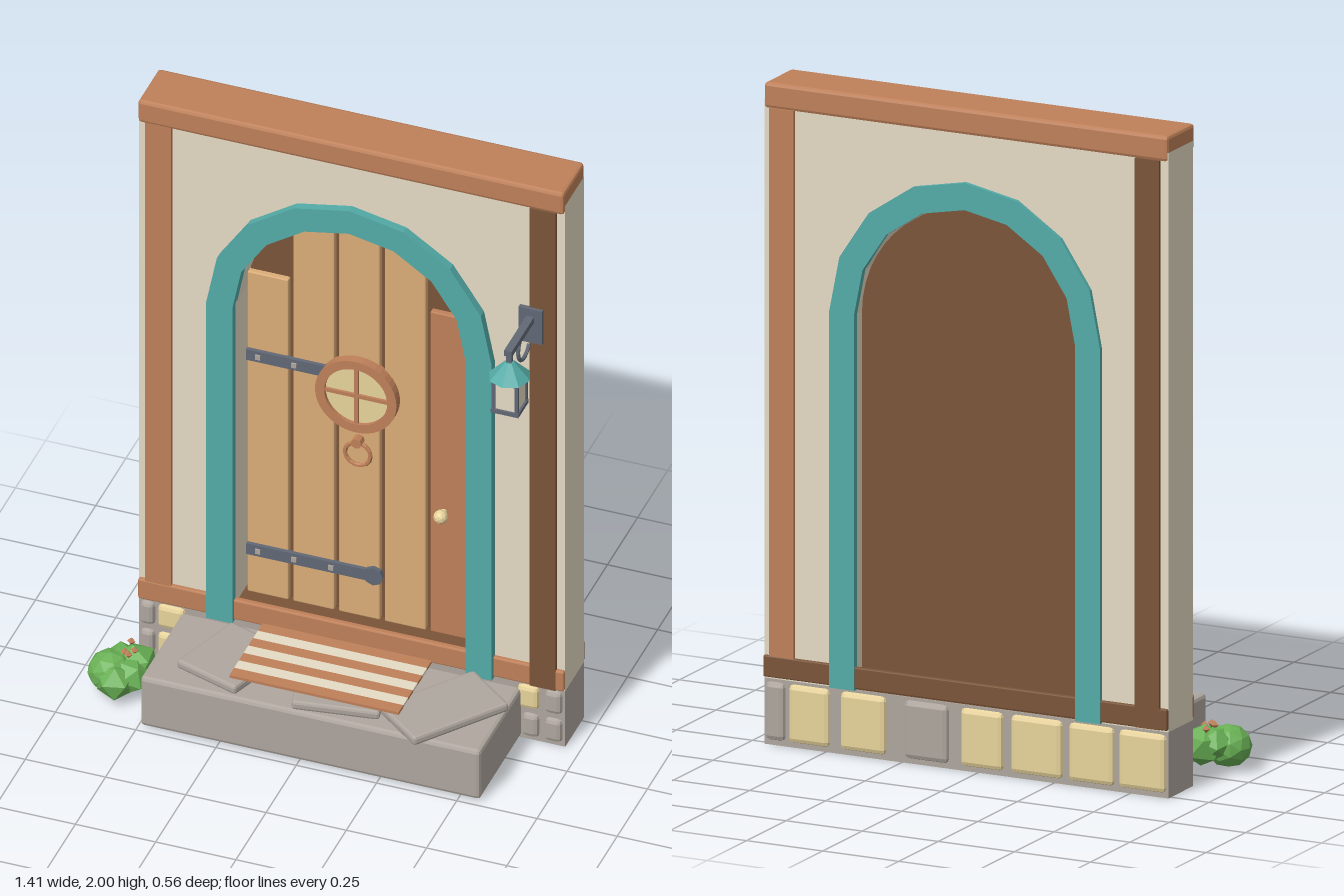
import * as THREE from 'three';
import { RoundedBoxGeometry } from 'three/addons/geometries/RoundedBoxGeometry.js';

const mat = (name, color) => {
  const m = new THREE.MeshStandardMaterial({ color });
  m.name = name;
  return m;
};

export function createModel() {
  const root = new THREE.Group();
  root.name = 'doorway';

  const wood = mat('red brown wood', 0xbf8059);
  const darkWood = mat('dark brown wood', 0x7a5438);
  const plankWood = mat('light plank wood', 0xdaac77);
  const plaster = mat('cream plaster', 0xe4dbc5);
  const teal = mat('teal paint', 0x53aba7);
  const stone = mat('grey stone', 0xaea69e);
  const sand = mat('sand stone', 0xe9d59c);
  const iron = mat('dark iron', 0x616875);
  const leaf = mat('leaf green', 0x69b055);

  // Faceted mesh from any geometry
  function add(name, geo, material, x = 0, y = 0, z = 0, parent = root) {
    const g = geo.index ? geo.toNonIndexed() : geo;
    g.computeVertexNormals();
    const m = new THREE.Mesh(g, material);
    m.name = name;
    m.position.set(x, y, z);
    parent.add(m);
    return m;
  }
  // Box given by its limits, with an optional chamfer
  function box(name, material, x0, x1, y0, y1, z0, z1, bevel = 0, parent = root) {
    const w = x1 - x0, h = y1 - y0, d = z1 - z0;
    const g = bevel ? new RoundedBoxGeometry(w, h, d, 1, bevel) : new THREE.BoxGeometry(w, h, d);
    return add(name, g, material, (x0 + x1) / 2, (y0 + y1) / 2, (z0 + z1) / 2, parent);
  }

  // Arched outline: straight sides with a half round head
  const CX = 0.038, SPRING = 1.335;
  function archPoints(r, n, y0) {
    const pts = [new THREE.Vector2(CX + r, y0)];
    for (let i = 0; i <= n; i++) {
      const a = (Math.PI * i) / n;
      pts.push(new THREE.Vector2(CX + r * Math.cos(a), SPRING + r * Math.sin(a)));
    }
    pts.push(new THREE.Vector2(CX - r, y0));
    return pts;
  }
  function slab(name, material, pts, z0, z1) {
    const g = new THREE.ExtrudeGeometry(new THREE.Shape(pts), { depth: z1 - z0, bevelEnabled: false });
    return add(name, g, material, 0, 0, z0);
  }

  // Wall with the arched opening, on a stone footing
  const XL = -0.625, XR = 0.702, OPENING = 0.363;
  slab('wall', plaster, [
    new THREE.Vector2(XL, 0.2), ...archPoints(OPENING, 8, 0.2).reverse(),
    new THREE.Vector2(XR, 0.2), new THREE.Vector2(XR, 1.95), new THREE.Vector2(XL, 1.95),
  ], -0.267, -0.112);
  box('footing', stone, XL, XR, 0, 0.2, -0.267, -0.112);

  // Timber frame
  box('topBeam', wood, XL, XR, 1.922, 2, -0.272, -0.098, 0.01);
  box('frontPostRight', wood, -0.602, -0.522, 0.24, 1.925, -0.12, -0.1);
  box('frontPostLeft', darkWood, 0.597, 0.677, 0.205, 1.925, -0.12, -0.096);
  box('backPostLeft', wood, 0.602, 0.682, 0.24, 1.925, -0.275, -0.26);
  box('backPostRight', darkWood, -0.6, -0.52, 0.205, 1.925, -0.277, -0.26);
  box('frontBoard', wood, XL, XR, 0.205, 0.275, -0.12, -0.099, 0.005);
  box('backBoard', darkWood, XL, XR, 0.205, 0.27, -0.276, -0.26, 0.004);
  box('sill', darkWood, CX - 0.36, CX + 0.36, 0.2, 0.262, -0.262, -0.115);

  // Arched trim on both faces of the wall, and the door between
  for (const [z0, z1] of [[-0.28, -0.26], [-0.125, -0.085]]) {
    slab('archTrim', teal, [
      ...archPoints(0.445, 8, 0.2), ...archPoints(OPENING, 8, 0.2).reverse(),
    ], z0, z1);
  }
  slab('doorPanel', darkWood, archPoints(0.355, 24, 0.255), -0.245, -0.19);

  // Everything fixed to the door face, measured from that face
  const face = new THREE.Group();
  face.name = 'doorFace';
  face.position.z = -0.172;
  root.add(face);

  const tops = [1.415, 1.625, 1.682, 1.625, 1.415];
  tops.forEach((top, i) => {
    const x = CX + (i - 2) * 0.1425;
    box('doorPlank', i === 4 ? wood : plankWood, x - 0.064, x + 0.064, 0.262, top, -0.03, 0, 0.004, face);
  });

  // Round window
  const onZ = (r, h, n) => new THREE.CylinderGeometry(r, r, h, n).rotateX(Math.PI / 2);
  add('windowGlass', onZ(0.105, 0.02, 20), sand, CX, 1.07, 0.008, face);
  const rim = new THREE.Shape().absarc(0, 0, 0.127, 0, Math.PI * 2);
  rim.holes.push(new THREE.Path().absarc(0, 0, 0.098, 0, Math.PI * 2, true));
  add('windowRim', new THREE.ExtrudeGeometry(rim, { depth: 0.035, bevelEnabled: false, curveSegments: 20 }),
    wood, CX, 1.07, -0.005, face);
  box('windowBar', wood, CX - 0.1, CX + 0.1, 1.064, 1.076, 0.01, 0.026, 0, face);
  box('windowBar', wood, CX - 0.006, CX + 0.006, 0.97, 1.17, 0.01, 0.026, 0, face);

  // Hinge straps with studs
  for (const [y, end] of [[1.123, -0.06], [0.423, 0.07]]) {
    box('hingeStrap', iron, -0.31, end, y - 0.019, y + 0.019, -0.002, 0.012, 0, face);
    for (const x of [-0.273, -0.16, -0.045]) {
      if (x < end - 0.05) box('stud', stone, x - 0.008, x + 0.008, y - 0.008, y + 0.008, 0.01, 0.017, 0, face);
    }
  }
  add('hingeTip', onZ(0.031, 0.016, 8), iron, 0.085, 0.423, 0.005, face);

  // Knocker and knob
  add('knockerRing', new THREE.TorusGeometry(0.04, 0.007, 6, 14), wood, CX, 0.855, 0.013, face);
  add('knockerMount', onZ(0.017, 0.03, 8), wood, CX, 0.9, 0.013, face);
  add('knobStem', onZ(0.01, 0.03, 8), sand, 0.302, 0.705, 0.01, face);
  add('knob', new THREE.IcosahedronGeometry(0.022, 1), sand, 0.302, 0.705, 0.028, face);

  // Footing stones along the back: left edge, right edge, material
  const backStones = [
    [-0.62, -0.465, sand], [-0.45, -0.3, sand], [-0.28, -0.11, sand], [-0.085, 0.055, sand],
    [0.095, 0.24, stone], [0.3, 0.45, sand], [0.485, 0.62, sand], [0.632, 0.697, stone],
  ];
  for (const [a, b, m] of backStones) box('backStone', m, a, b, 0.015, 0.192, -0.28, -0.25, 0.016);

  // Footing stones at the front corners
  const frontStones = [
    [-0.62, -0.575, 0.115, stone], [-0.62, -0.575, 0.015, stone],
    [-0.565, -0.48, 0.115, sand], [-0.565, -0.48, 0.015, sand],
    [0.555, 0.622, 0.115, sand], [0.57, 0.622, 0.015, stone],
    [0.64, 0.694, 0.115, stone], [0.64, 0.694, 0.015, stone],
  ];
  for (const [a, b, y, m] of frontStones) box('frontStone', m, a, b, y, y + 0.08, -0.13, -0.098, 0.014);

  // Step with loose flagstones
  box('step', stone, -0.492, 0.567, 0.008, 0.182, -0.115, 0.236, 0.012);
  const flags = [
    [-0.26, 0.08, 0.225, 0.25, -0.35, 0.03], [0.075, 0.073, 0.26, 0.3, 0.24, -0.07],
    [0.402, 0.095, 0.32, 0.21, 0.87, 0.07],
  ];
  for (const [x, z, w, d, turn, tilt] of flags) {
    const g = new RoundedBoxGeometry(w, 0.03, d, 1, 0.009).rotateY(turn).rotateZ(tilt);
    add('flagstone', g, stone, x, 0.204, z);
  }

  // Striped mat
  const stripe = 0.275 / 7;
  for (let i = 0; i < 7; i++) {
    const z = -0.07 + i * stripe;
    box('matStripe', i % 2 ? plaster : wood, -0.225, 0.302, 0.228, 0.237, z, z + stripe);
  }

  // Wall lantern on its bracket
  const lamp = new THREE.Group();
  lamp.name = 'lantern';
  lamp.position.x = 0.603;
  root.add(lamp);
  box('bracketPlate', iron, -0.037, 0.037, 1.45, 1.57, -0.1, -0.085, 0, lamp);
  box('bracketArm', iron, -0.012, 0.012, 1.525, 1.545, -0.09, 0.1, 0, lamp);
  const curl = new THREE.TorusGeometry(0.049, 0.006, 6, 14, Math.PI * 1.4)
    .rotateZ(-Math.PI * 0.82).rotateY(-Math.PI / 2);
  add('bracketCurl', curl, iron, 0, 1.48, -0.034, lamp);
  box('hook', iron, -0.008, 0.008, 1.485, 1.53, 0.077, 0.093, 0, lamp);
  add('lanternRoof', new THREE.CylinderGeometry(0.014, 0.064, 0.053, 8), teal, 0, 1.472, 0.085, lamp);
  box('lanternGlass', plaster, -0.036, 0.036, 1.345, 1.44, 0.049, 0.121, 0, lamp);
  box('lanternFloor', iron, -0.043, 0.043, 1.333, 1.346, 0.042, 0.128, 0, lamp);
  box('lanternTop', iron, -0.041, 0.041, 1.436, 1.446, 0.044, 0.126, 0, lamp);
  for (const sx of [-1, 1]) for (const sz of [-1, 1]) {
    add('lanternPost', new THREE.BoxGeometry(0.01, 0.1, 0.01), iron, sx * 0.036, 1.392, 0.085 + sz * 0.036, lamp);
  }

  // Leafy bush of squat clumps with small buds
  const clumps = [
    [-0.635, 0.075, 0.095, 0.07], [-0.578, 0.082, 0.045, 0.07], [-0.608, 0.07, 0.13, 0.063],
    [-0.574, 0.075, 0.1, 0.062], [-0.615, 0.088, 0.055, 0.06],
  ];
  clumps.forEach(([x, y, z, r], i) => {
    const g = new THREE.IcosahedronGeometry(r, i === 0 ? 1 : 0);
    g.rotateX(i * 0.9).rotateY(i * 1.7).scale(1, 0.92, 1);
    add('bushClump', g, leaf, x, y, z);
  });
  for (const [x, z] of [[-0.6, 0.02], [-0.575, 0.06], [-0.6, 0.075], [-0.585, 0.085]]) {
    add('bud', new THREE.OctahedronGeometry(0.013), wood, x, 0.138, z);
  }

  return root;
}
